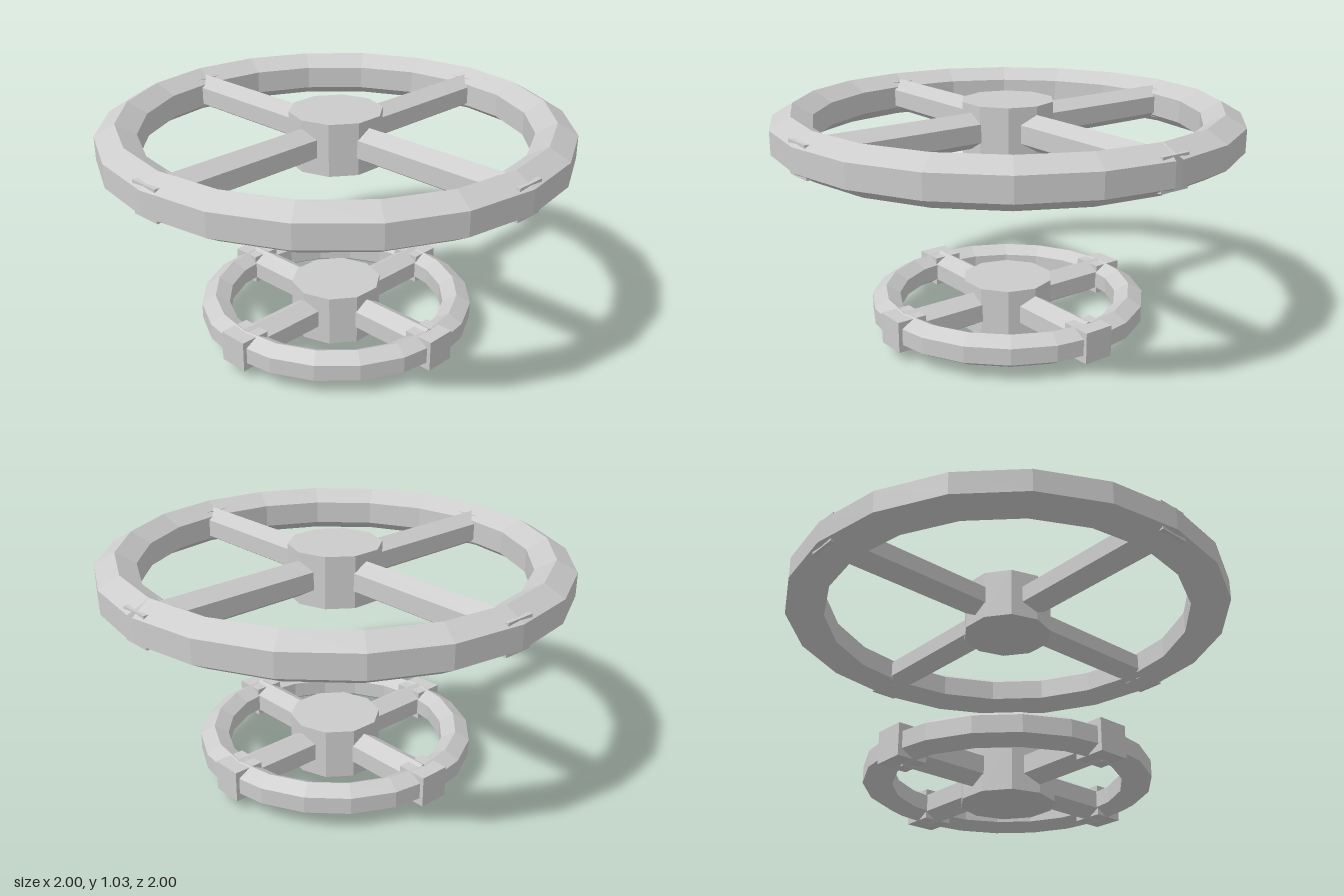
import * as THREE from 'three';

const material = new THREE.MeshStandardMaterial({ color: 0xcccccc, flatShading: true });

function addPart(parent, name, geometry) {
  const mesh = new THREE.Mesh(geometry, material);
  mesh.name = name;
  parent.add(mesh);
  return mesh;
}

// Twenty-segment rim with a hexagonal section, ridge up, and a slight V seam at +x
function rimGeometry(radius, tube) {
  const segments = 20;
  const profile = [];
  for (let i = 0; i <= 6; i++) {
    const a = -Math.PI / 6 + (i * Math.PI) / 3;
    profile.push(new THREE.Vector2(radius + tube * Math.cos(a), tube * Math.sin(a)));
  }
  const geometry = new THREE.LatheGeometry(profile, segments, Math.PI / 2);
  const pos = geometry.attributes.position;
  profile.forEach((p, j) => {
    const open = 0.2 * (p.x - radius);
    pos.setZ(j, -open);
    pos.setZ(segments * profile.length + j, open);
  });
  geometry.computeVertexNormals();
  return geometry;
}

function wheel(name, radius, tube, y) {
  const group = new THREE.Group();
  group.name = name;
  group.position.y = y;

  addPart(group, 'rim', rimGeometry(radius, tube));

  // Ten-sided hub with corners on the x axis
  addPart(group, 'hub', new THREE.CylinderGeometry(0.2, 0.2, 0.225, 10).rotateY(Math.PI / 2));

  // Four hexagonal spokes, each ending in a cube joint inside the rim
  for (let i = 0; i < 4; i++) {
    const arm = new THREE.Group();
    arm.name = 'arm' + (i + 1);
    arm.rotation.y = (i * Math.PI) / 2;
    addPart(arm, 'spoke', new THREE.CylinderGeometry(0.077, 0.077, radius, 6).rotateX(-Math.PI / 2))
      .position.z = radius / 2;
    addPart(arm, 'joint', new THREE.BoxGeometry(0.135, 0.135, 0.135)).position.z = radius + 0.001;
    group.add(arm);
  }
  return group;
}

export function createModel() {
  const model = new THREE.Group();
  model.name = 'wheelPair';
  model.add(wheel('upperWheel', 0.913, 0.1, 0.916));
  model.add(wheel('lowerWheel', 0.545, 0.071, 0.1135));
  return model;
}
